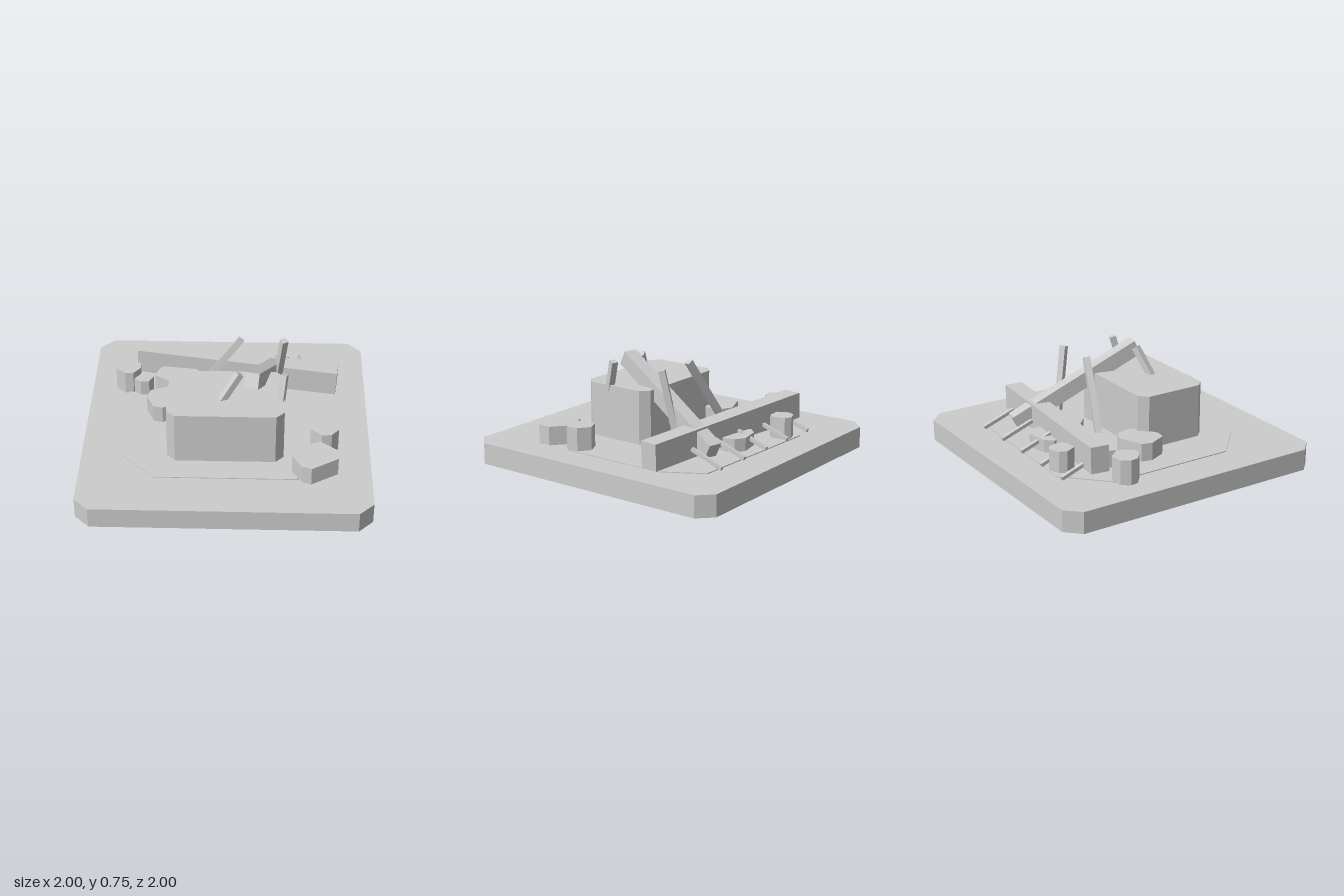
import * as THREE from 'three';

export function createModel() {
  const model = new THREE.Group();
  const stone = new THREE.MeshStandardMaterial({ color: 0xcccccc });
  stone.name = 'light grey';

  function add(name, geometry) {
    const mesh = new THREE.Mesh(geometry, stone);
    mesh.name = name;
    model.add(mesh);
    return mesh;
  }

  // Upright prism over an outline of [x, z] corners
  function prism(name, outline, bottom, top) {
    const shape = new THREE.Shape(outline.map(([x, z]) => new THREE.Vector2(x, -z)));
    const geo = new THREE.ExtrudeGeometry(shape, { depth: top - bottom, bevelEnabled: false });
    geo.rotateX(-Math.PI / 2).translate(0, bottom, 0);
    return add(name, geo);
  }

  // Rectangle with its four corners cut off
  function cutRect(x0, x1, z0, z1, c) {
    return [
      [x0 + c, z0], [x1 - c, z0], [x1, z0 + c], [x1, z1 - c],
      [x1 - c, z1], [x0 + c, z1], [x0, z1 - c], [x0, z0 + c],
    ];
  }

  // Square-cut timber running between two end points
  function timber(name, from, to, width, height) {
    const a = new THREE.Vector3(...from);
    const b = new THREE.Vector3(...to);
    const mesh = add(name, new THREE.BoxGeometry(width, height, a.distanceTo(b)));
    mesh.position.copy(a).add(b).multiplyScalar(0.5);
    mesh.lookAt(b);
    return mesh;
  }

  // Ground slab, worn floor patch and the large block
  const ground = 0.152;
  prism('base', cutRect(-1, 1, -1, 1, 0.1), 0, ground);
  prism('floorPatch', [
    [-0.73, 0.42], [-0.48, 0.66], [0.49, 0.66], [0.78, 0.3],
    [0.78, -0.45], [0.62, -0.73], [-0.45, -0.77], [-0.73, -0.5],
  ], ground, 0.158);
  prism('block', cutRect(-0.405, 0.4, -0.055, 0.478, 0.057), ground, 0.54);

  // Fallen beam across the back and the beam leaning over it
  timber('fallenBeam', [-0.667, 0.307, -0.565], [0.793, 0.252, -0.385], 0.132, 0.185);
  timber('leaningBeam', [0.172, 0.697, 0.277], [0.39, 0.228, -0.612], 0.1, 0.11);

  // Four splayed props
  const props = [
    [[0.09, 0.715, 0.225], [-0.27, 0.16, 0.375]],
    [[0.395, 0.715, 0.225], [0.335, 0.16, 0.375]],
    [[0.09, 0.715, -0.19], [-0.26, 0.16, -0.295]],
    [[0.395, 0.715, -0.19], [0.335, 0.16, -0.295]],
  ];
  for (const [top, foot] of props) timber('prop', top, foot, 0.045, 0.045);

  // Row of small slanted stakes
  for (let i = -2; i <= 2; i++) {
    const x = i * 0.265 - 0.003;
    timber('stake', [x, 0.262, -0.54], [x, 0.175, -0.78], 0.025, 0.025);
  }

  // Scattered rubble: top height, then outline
  const rubble = [
    [0.328, [[-0.83, -0.43], [-0.79, -0.49], [-0.705, -0.5], [-0.645, -0.43],
      [-0.645, -0.38], [-0.695, -0.315], [-0.755, -0.315], [-0.825, -0.375]]],
    [0.275, [[-0.69, -0.36], [-0.64, -0.41], [-0.59, -0.405], [-0.55, -0.35],
      [-0.58, -0.285], [-0.64, -0.28], [-0.69, -0.32]]],
    [0.28, [[-0.54, -0.36], [-0.51, -0.45], [-0.42, -0.52], [-0.28, -0.5],
      [-0.21, -0.41], [-0.2, -0.335], [-0.27, -0.24], [-0.365, -0.25]]],
    [0.285, [[-0.56, -0.165], [-0.385, -0.235], [-0.315, -0.2], [-0.28, -0.085],
      [-0.33, -0.025], [-0.46, 0.045], [-0.525, 0.03], [-0.58, -0.09]]],
    [0.25, [[-0.115, -0.58], [-0.065, -0.635], [0.08, -0.665], [0.15, -0.62],
      [0.17, -0.55], [0.1, -0.35], [0, -0.33], [-0.08, -0.375]]],
    [0.312, [[-0.445, -0.68], [-0.42, -0.73], [-0.345, -0.76], [-0.3, -0.735],
      [-0.285, -0.645], [-0.315, -0.605], [-0.405, -0.6]]],
    [0.243, [[0.07, -0.305], [0.11, -0.385], [0.165, -0.4], [0.265, -0.36],
      [0.28, -0.24], [0.215, -0.165], [0.14, -0.19], [0.07, -0.255]]],
    [0.322, [[0.605, 0.225], [0.69, 0.185], [0.77, 0.245], [0.78, 0.315],
      [0.73, 0.375], [0.66, 0.385], [0.585, 0.31]]],
    [0.285, [[0.485, 0.46], [0.655, 0.405], [0.77, 0.5], [0.77, 0.59],
      [0.585, 0.705], [0.52, 0.68], [0.455, 0.575]]],
  ];
  for (const [top, outline] of rubble) prism('rubble', outline, ground, top);

  return model;
}
